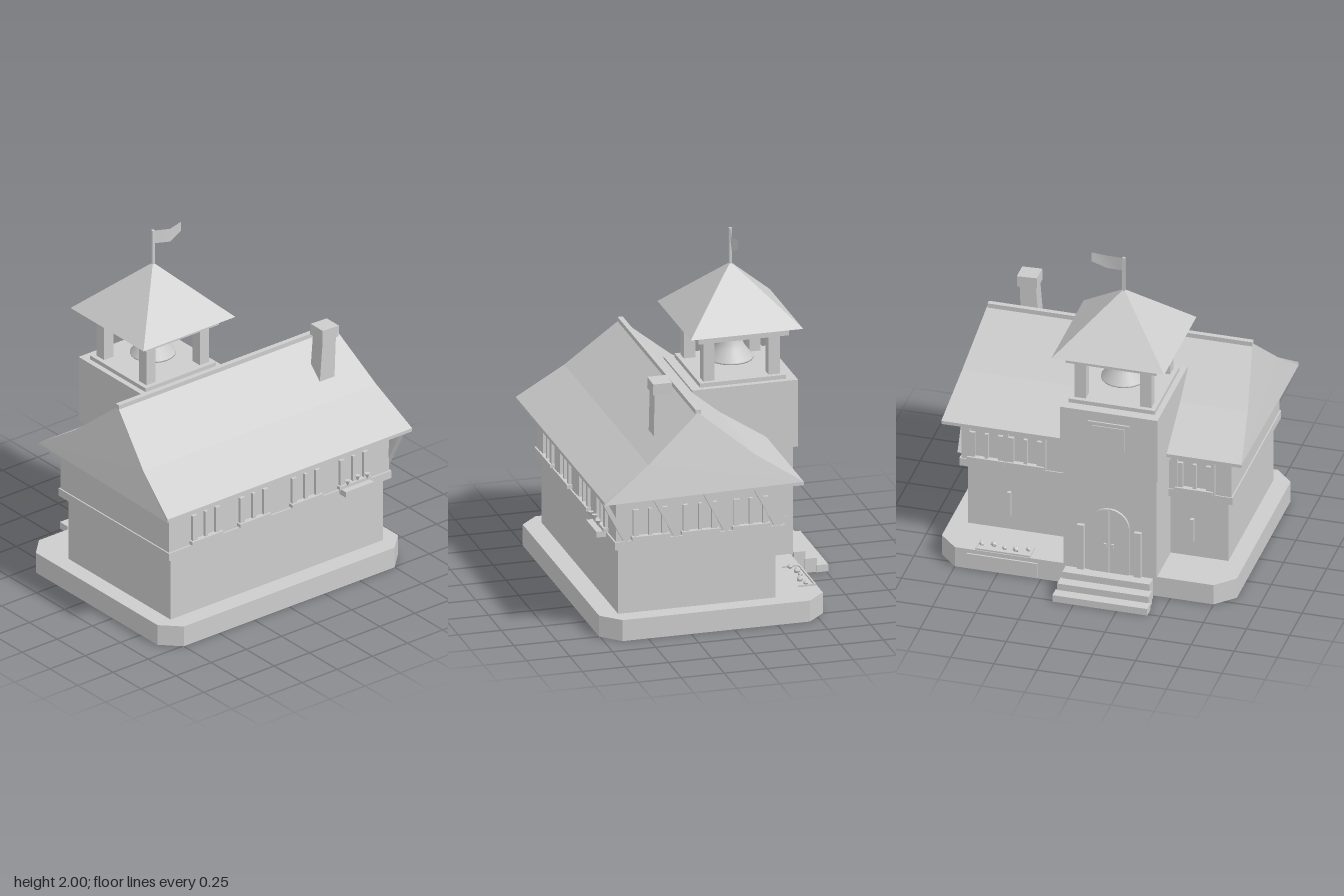
import * as THREE from 'three';

const stone = new THREE.MeshStandardMaterial({ color: 0xcccccc, side: THREE.DoubleSide });
stone.name = 'plain grey';

function add(parent, name, geo) {
  const mesh = new THREE.Mesh(geo, stone);
  mesh.name = name;
  parent.add(mesh);
  return mesh;
}

// Box given by its limits on each axis
function box(parent, name, x0, x1, y0, y1, z0, z1) {
  const geo = new THREE.BoxGeometry(x1 - x0, y1 - y0, z1 - z0);
  geo.translate((x0 + x1) / 2, (y0 + y1) / 2, (z0 + z1) / 2);
  return add(parent, name, geo);
}

const vectors = (points) => points.map(([x, y]) => new THREE.Vector2(x, y));

function extrude(points, depth, hole) {
  const shape = new THREE.Shape(vectors(points));
  if (hole) shape.holes.push(new THREE.Path(vectors(hole)));
  return new THREE.ExtrudeGeometry(shape, { depth, bevelEnabled: false });
}

// Three narrow uprights on a sill, facing +z before turning
function barredWindow(parent, x, z, turn) {
  const g = new THREE.Group();
  g.name = 'barredWindow';
  box(g, 'sill', -0.11, 0.11, 0.573, 0.594, -0.01, 0.03);
  for (const s of [-1, 1]) box(g, 'sidePost', s * 0.083 - 0.016, s * 0.083 + 0.016, 0.594, 0.75, -0.01, 0.018);
  box(g, 'middlePost', -0.01, 0.01, 0.594, 0.75, -0.01, 0.018);
  g.position.set(x, 0, z);
  g.rotation.y = turn;
  parent.add(g);
  return g;
}

export function createModel() {
  const model = new THREE.Group();
  model.name = 'bellTowerHouse';

  // Chamfered plinth, a shell open underneath
  const outline = [[-0.855, -0.65], [-0.75, -0.755], [0.75, -0.755], [0.855, -0.65],
    [0.855, 0.44], [0.75, 0.545], [-0.75, 0.545], [-0.855, 0.44]];
  const inner = outline.map(([x, y]) => [x * 0.995, y * 0.995]);
  const rim = extrude(outline, 0.122, inner);
  rim.rotateX(-Math.PI / 2);
  add(model, 'plinthRim', rim);
  const plinthTop = extrude(outline, 0.003);
  plinthTop.rotateX(-Math.PI / 2);
  plinthTop.translate(0, 0.122, 0);
  add(model, 'plinthTop', plinthTop);

  // House body
  box(model, 'lowerWalls', -0.757, 0.753, 0.12, 0.52, -0.27, 0.645);
  box(model, 'floorBand', -0.793, 0.79, 0.518, 0.565, -0.315, 0.675);
  box(model, 'upperWalls', -0.785, 0.78, 0.56, 0.83, -0.308, 0.665);

  // Main roof: kinked profile, narrowed toward the ridge
  const roof = extrude([[-0.76, 0.822], [0.4, 0.822], [0.4, 0.842], [0.125, 1.022],
    [-0.185, 1.28], [-0.49, 1.022], [-0.76, 0.842]], 1);
  roof.translate(0, 0, -0.5);
  roof.rotateY(Math.PI / 2);
  const rp = roof.attributes.position;
  for (let i = 0; i < rp.count; i++) {
    const rise = Math.max(0, (rp.getY(i) - 0.842) / 0.438);
    rp.setX(i, Math.sign(rp.getX(i)) * (0.87 - 0.103 * rise));
  }
  roof.computeVertexNormals();
  add(model, 'mainRoof', roof);
  box(model, 'ridgeCap', -0.77, 0.765, 1.268, 1.295, 0.168, 0.198);

  // Slightly leaning chimney
  const shaft = new THREE.BoxGeometry(0.1, 0.32, 0.088);
  const sp = shaft.attributes.position;
  for (let i = 0; i < sp.count; i++) sp.setX(i, sp.getX(i) * (1 - sp.getY(i) * 0.4) + sp.getY(i) * 0.06);
  shaft.translate(0.562, 1.205, 0.35);
  add(model, 'chimneyShaft', shaft);
  const cap = new THREE.BoxGeometry(0.116, 0.066, 0.11);
  cap.rotateZ(-0.04);
  cap.translate(0.572, 1.39, 0.35);
  add(model, 'chimneyCap', cap);

  // Windows on the front, left side and back
  for (const x of [-0.53, -0.19, 0.18, 0.52]) barredWindow(model, x, 0.665, 0);
  for (const z of [0.47, 0.18, -0.115]) barredWindow(model, 0.78, z, Math.PI / 2);
  for (const x of [0.63, 0.405, -0.575]) {
    const w = barredWindow(model, x, -0.308, Math.PI);
    for (const s of [-1, 1]) box(w, 'stud', s * 0.108 - 0.01, s * 0.108 + 0.01, 0.56, 0.825, -0.01, 0.02);
  }

  // Slanted braces along the left side
  for (let i = 0; i < 4; i++) {
    const z = 0.76 - i * 0.292;
    const brace = extrude([[-z, 0.825], [-z + 0.03, 0.825], [-z + 0.16, 0.575], [-z + 0.13, 0.575]], 0.035);
    brace.rotateY(Math.PI / 2);
    brace.translate(0.777, 0, 0);
    add(model, 'brace', brace);
  }

  // Front window box with small flowers
  box(model, 'windowBox', 0.42, 0.62, 0.54, 0.575, 0.66, 0.733);
  for (const [x, y] of [[0.448, 0.618], [0.52, 0.626], [0.588, 0.616]]) {
    const bloom = new THREE.CylinderGeometry(0.018, 0.004, 0.03, 5);
    bloom.translate(x, y, 0.713);
    add(model, 'flower', bloom);
  }

  // Slits in the lower back wall
  for (const x of [0.51, -0.55]) box(model, 'slit', x - 0.01, x + 0.01, 0.22, 0.37, -0.292, -0.265);

  // Flower bed on the plinth and the plate behind it
  box(model, 'bedPlate', 0.27, 0.68, 0.012, 0.1, -0.555, -0.545);
  box(model, 'bedEdge', 0.315, 0.635, 0.12, 0.135, -0.54, -0.53);
  for (const x of [0.315, 0.629]) box(model, 'bedEdge', x, x + 0.006, 0.12, 0.135, -0.54, -0.44);
  [[0.343, -0.475], [0.41, -0.495], [0.475, -0.497], [0.543, -0.473], [0.61, -0.488]].forEach(([x, z], i) => {
    const bloom = new THREE.IcosahedronGeometry(i % 2 ? 0.021 : 0.016, 0);
    bloom.translate(x, 0.14, z);
    add(model, 'bedFlower', bloom);
  });

  // Tower, built around its own axis
  const tower = new THREE.Group();
  tower.name = 'tower';
  tower.position.set(-0.153, 0, -0.275);
  model.add(tower);
  box(tower, 'towerLower', -0.27, 0.27, 0.12, 0.77, -0.285, 0.28);
  box(tower, 'towerUpper', -0.283, 0.283, 0.765, 1.163, -0.31, 0.305);
  box(tower, 'belfryDeck', -0.25, 0.25, 1.16, 1.187, -0.25, 0.25);
  for (const sx of [-1, 1]) for (const sz of [-1, 1]) {
    box(tower, 'pillar', sx * 0.19 - 0.033, sx * 0.19 + 0.033, 1.185, 1.43, sz * 0.19 - 0.033, sz * 0.19 + 0.033);
  }
  for (const s of [-1, 1]) {
    box(tower, 'beam', -0.263, 0.263, 1.425, 1.482, s * 0.228 - 0.035, s * 0.228 + 0.035);
    box(tower, 'beam', s * 0.228 - 0.035, s * 0.228 + 0.035, 1.425, 1.482, -0.193, 0.193);
  }
  const spire = new THREE.ConeGeometry(0.327 * Math.SQRT2, 0.317, 4, 1).toNonIndexed();
  spire.rotateY(Math.PI / 4);
  spire.translate(0, 1.638, 0);
  spire.computeVertexNormals();
  add(tower, 'towerRoof', spire);

  // Bell with hanger and clapper
  const profile = [[0, 1.382], [0.056, 1.382], [0.064, 1.34], [0.082, 1.298], [0.128, 1.237], [0.128, 1.228], [0.1, 1.24]];
  add(tower, 'bell', new THREE.LatheGeometry(vectors(profile), 20));
  box(tower, 'bellHanger', -0.024, 0.024, 1.38, 1.48, -0.024, 0.024);
  const clapper = new THREE.CylinderGeometry(0.025, 0.025, 0.09, 8);
  clapper.translate(0, 1.245, 0);
  add(tower, 'clapper', clapper);

  // Flagpole and waving flag
  box(tower, 'flagpole', -0.008, 0.008, 1.77, 2, -0.008, 0.008);
  const flag = new THREE.PlaneGeometry(0.185, 0.08, 2, 1);
  const top = [1.995, 1.983, 1.995], bottom = [1.915, 1.902, 1.937], wave = [0, 0.022, 0.012];
  for (let i = 0; i < 3; i++) {
    const x = [0.005, 0.105, 0.19][i];
    flag.attributes.position.setXYZ(i, x, top[i], wave[i]);
    flag.attributes.position.setXYZ(i + 3, x, bottom[i], wave[i]);
  }
  flag.computeVertexNormals();
  add(tower, 'flag', flag);

  // Hanging shield banner on the back
  box(tower, 'bannerRod', -0.12, 0.12, 1.085, 1.103, -0.32, -0.305);
  const banner = extrude([[-0.095, 1.075], [-0.095, 0.93], [0, 0.865], [0.095, 0.93], [0.095, 1.075]], 0.008);
  banner.translate(0, 0, -0.315);
  add(tower, 'banner', banner);

  // Arched double door with handles and flanking posts
  for (const s of [-1, 1]) {
    const leaf = new THREE.Shape();
    leaf.moveTo(s * 0.003, 0.125);
    leaf.lineTo(s * 0.115, 0.125);
    leaf.lineTo(s * 0.115, 0.42);
    leaf.absarc(0, 0.42, 0.115, s > 0 ? 0 : Math.PI, Math.PI / 2 - s * 0.026, s < 0);
    const geo = new THREE.ExtrudeGeometry(leaf, { depth: 0.02, bevelEnabled: false });
    geo.translate(0, 0, -0.3);
    add(tower, 'doorLeaf', geo);
    box(tower, 'doorHandle', s * 0.022 - 0.007, s * 0.022 + 0.007, 0.285, 0.315, -0.312, -0.295);
    box(tower, 'doorPost', s * 0.165 - 0.02, s * 0.165 + 0.02, 0.12, 0.41, -0.308, -0.28);
  }

  // Three steps up to the door
  [[0.253, 0.125, 0.362], [0.265, 0.083, 0.425], [0.275, 0.042, 0.488]].forEach(([w, h, z]) =>
    box(tower, 'step', -w, w, 0, h, -z, -z + 0.068));

  return model;
}
